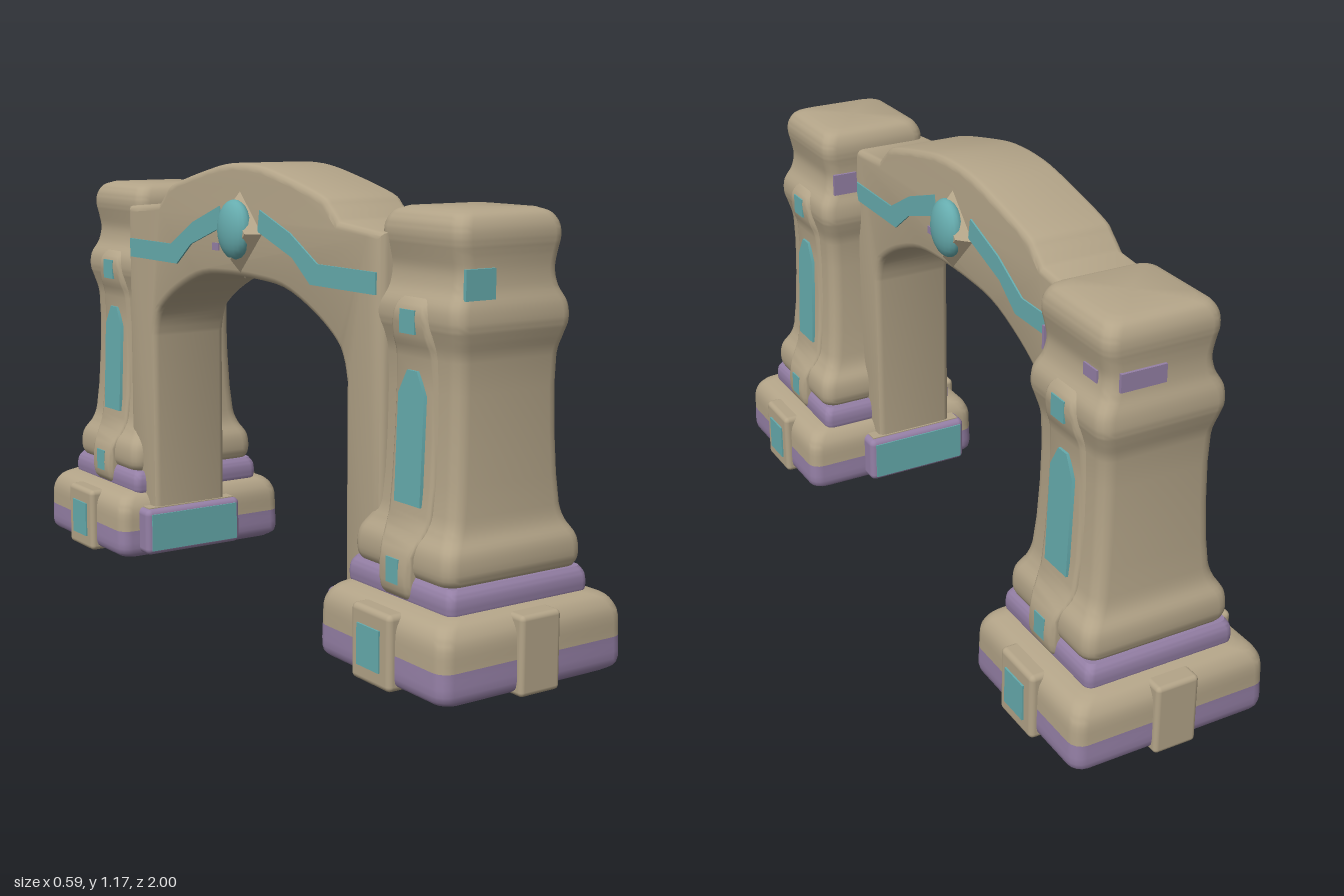
import * as THREE from 'three';
import { toCreasedNormals } from 'three/addons/utils/BufferGeometryUtils.js';
import { RoundedBoxGeometry } from 'three/addons/geometries/RoundedBoxGeometry.js';

const mat = (name, color) => Object.assign(new THREE.MeshStandardMaterial({ color }), { name });

// Stack of rounded rectangles; profile entries are [y, half width x, half depth z]
function loft(profile, radius, steps = 4) {
  const curve = new THREE.CatmullRomCurve3(profile.map((p) => new THREE.Vector3(p[1], p[0], p[2])), false, 'centripetal');
  const levels = (profile.length - 1) * steps;
  const pos = [], index = [], arc = 4, n = 4 * (arc + 1);
  for (let j = 0; j <= levels; j++) {
    const p = curve.getPoint(j / levels);
    for (let q = 0; q < 4; q++) {
      const sx = q === 0 || q === 3 ? 1 : -1, sz = q < 2 ? 1 : -1;
      for (let k = 0; k <= arc; k++) {
        const a = (q + k / arc) * Math.PI / 2;
        pos.push(sx * (p.x - radius) + Math.cos(a) * radius, p.y, sz * (p.z - radius) + Math.sin(a) * radius);
      }
    }
  }
  const bottom = pos.length / 3, top = bottom + 1;
  pos.push(0, profile[0][0], 0, 0, profile[profile.length - 1][0], 0);
  for (let i = 0; i < n; i++) {
    const i2 = (i + 1) % n;
    for (let j = 0; j < levels; j++) {
      const a = j * n + i, b = j * n + i2;
      index.push(a, a + n, b + n, a, b + n, b);
    }
    index.push(bottom, i, i2, top, levels * n + i2, levels * n + i);
  }
  const g = new THREE.BufferGeometry();
  g.setAttribute('position', new THREE.Float32BufferAttribute(pos, 3));
  g.setIndex(index);
  return toCreasedNormals(g, 0.8);
}

// Outline given as [z, y], with its thickness along x, centred on x = 0
function plate(points, depth, bevel = 0) {
  const shape = new THREE.Shape(points.map((p) => new THREE.Vector2(p[0], p[1])));
  const g = new THREE.ExtrudeGeometry(shape, {
    depth: depth - 2 * bevel, bevelEnabled: bevel > 0, bevelSize: bevel,
    bevelThickness: bevel, bevelOffset: -bevel, bevelSegments: 3,
  });
  g.translate(0, 0, bevel - depth / 2);
  g.rotateY(-Math.PI / 2);
  return toCreasedNormals(g, 0.7);
}

export function createModel() {
  const stone = mat('sandstone', 0xb3a488);
  const purple = mat('purple', 0x9580a6);
  const cyan = mat('turquoise', 0x66acae);
  const model = new THREE.Group();
  model.name = 'archway';

  const add = (parent, name, geo, material, x = 0, y = 0, z = 0) => {
    const m = new THREE.Mesh(geo, material);
    m.name = name;
    m.position.set(x, y, z);
    parent.add(m);
    return m;
  };
  const box = (w, h, d, r = 0.015) => new RoundedBoxGeometry(w, h, d, 3, r);
  const thin = (w, h, d) => new THREE.BoxGeometry(w, h, d);

  const archX = -0.057, archWidth = 0.234;

  // Shared pillar geometry
  const baseLower = loft([[0.006, 0.25, 0.222], [0.022, 0.27, 0.24], [0.088, 0.272, 0.242]], 0.035);
  const baseUpper = loft([[0.088, 0.272, 0.242], [0.15, 0.268, 0.238], [0.18, 0.25, 0.222], [0.195, 0.215, 0.2]], 0.035);
  const step = loft([[0.18, 0.2, 0.192], [0.2, 0.207, 0.198], [0.235, 0.205, 0.196], [0.252, 0.195, 0.186]], 0.02);
  const shaft = loft([
    [0.245, 0.19, 0.172], [0.268, 0.202, 0.183], [0.32, 0.2, 0.181], [0.36, 0.178, 0.163], [0.4, 0.165, 0.156],
    [0.75, 0.153, 0.148], [0.8, 0.164, 0.159], [0.83, 0.172, 0.165], [0.87, 0.17, 0.162], [0.91, 0.15, 0.151],
    [0.95, 0.143, 0.147], [0.99, 0.15, 0.148], [1.02, 0.156, 0.151], [1.05, 0.154, 0.148],
    [1.075, 0.14, 0.135], [1.087, 0.115, 0.11]], 0.035);
  const pilaster = loft([
    [0.19, 0.2, 0.05], [0.215, 0.218, 0.055], [0.3, 0.216, 0.06], [0.35, 0.19, 0.075], [0.39, 0.176, 0.08],
    [0.75, 0.163, 0.075], [0.8, 0.178, 0.07], [0.86, 0.182, 0.06], [0.9, 0.15, 0.05]], 0.015);
  const niche = plate([[-0.048, -0.155], [0.048, -0.155], [0.048, 0.1], [0.018, 0.155], [-0.018, 0.155], [-0.048, 0.1]], 0.009);

  for (const s of [1, -1]) {
    const pillar = new THREE.Group();
    pillar.name = s > 0 ? 'frontPillar' : 'backPillar';
    pillar.position.z = s * 0.73;
    model.add(pillar);

    add(pillar, 'baseLower', baseLower, purple, 0, 0, s * 0.013);
    add(pillar, 'baseUpper', baseUpper, stone, 0, 0, s * 0.013);
    add(pillar, 'baseStep', step, purple);
    add(pillar, 'shaft', shaft, stone);
    add(pillar, 'sidePilasters', pilaster, stone);
    add(pillar, 'baseEndBlock', box(0.118, 0.19, 0.14, 0.012), stone, 0, 0.095, s * 0.2);

    // Side blocks with inlaid panels
    for (const e of [1, -1]) {
      add(pillar, 'baseSideBlock', box(0.15, 0.182, 0.15, 0.014), stone, e * 0.214, 0.091, s * 0.008);
      add(pillar, 'basePanel', thin(0.009, 0.1, 0.085), cyan, e * 0.289, 0.09, s * 0.006);
      add(pillar, 'lowerInlay', thin(0.009, 0.06, 0.046), cyan, e * 0.217, 0.26, 0);
      add(pillar, 'upperInlay', thin(0.009, 0.055, 0.055), cyan, e * 0.181, 0.833, 0);
      add(pillar, 'nichePanel', niche, cyan, e * 0.17, 0.565, 0).rotation.z = e * 0.036;
    }

    // Block at the foot of the inner jamb
    add(pillar, 'innerBlock', box(0.315, 0.135, 0.12, 0.018), purple, archX, 0.088, -s * 0.218);
    add(pillar, 'innerBlockPanel', thin(0.285, 0.108, 0.009), cyan, archX, 0.088, -s * 0.2765);
    add(pillar, 'innerBlockTop', thin(0.285, 0.008, 0.09), stone, archX, 0.154, -s * 0.216);

    // Painted patches around the neck
    add(pillar, 'innerNeckPatch', thin(0.07, 0.06, 0.009), purple, 0.1, 0.935, -s * 0.15);
    if (s > 0) add(pillar, 'outerNeckPatch', thin(0.085, 0.07, 0.009), cyan, -0.1, 0.925, 0.152);
    else {
      add(pillar, 'outerNeckPatch', thin(0.12, 0.045, 0.009), purple, 0.06, 0.945, -0.15);
      add(pillar, 'sideNeckPatch', thin(0.009, 0.03, 0.055), purple, 0.144, 0.945, -0.072);
    }
  }

  // Arch and inner jambs in one outline
  const spline = (pts, count) => new THREE.SplineCurve(pts.map((p) => new THREE.Vector2(p[0], p[1])))
    .getPoints(count).map((v) => [v.x, v.y]);
  const upper = [[0.44, 1.04], [0.4, 1.075], [0.36, 1.1], [0.2, 1.14], [0.07, 1.163]];
  const lower = [[0.474, 0.66], [0.46, 0.71], [0.43, 0.75], [0.34, 0.805], [0.21, 0.855], [0.08, 0.868]];
  const mirror = (pts) => [...pts, ...pts.map((p) => [-p[0], p[1]]).reverse()];
  const outline = [
    [0.62, 0.1], [0.62, 1.025], [0.56, 1.03], ...spline(mirror(upper), 36), [-0.56, 1.03], [-0.62, 1.025],
    [-0.62, 0.1], [-0.474, 0.1], ...spline(mirror(lower), 40).reverse(), [0.474, 0.1],
  ];
  add(model, 'arch', plate(outline, archWidth, 0.018), stone, archX);

  // Inlaid bands, keystone collar and gem on both faces of the arch
  const gemGeo = new THREE.SphereGeometry(1, 20, 14).scale(0.036, 0.078, 0.066);
  const collarGeo = toCreasedNormals(new THREE.CylinderGeometry(0.07, 0.122, 0.045, 4).rotateZ(-Math.PI / 2), 0.4);
  for (const e of [1, -1]) {
    const face = archX + e * archWidth / 2;
    for (const s of [1, -1]) {
      const band = [[0.6, 0.88], [0.33, 0.88], [0.25, 0.94], [0.09, 0.995], [0.1, 1.05], [0.24, 1.0], [0.36, 0.933], [0.6, 0.933]];
      add(model, 'archBand', plate(band.map((p) => [s * p[0], p[1]]), 0.009), cyan, face);
    }
    const collar = add(model, 'keystoneCollar', collarGeo, stone, face + e * 0.008, 0.988, 0);
    if (e < 0) collar.rotation.y = Math.PI;
    add(model, 'keystoneGem', gemGeo, cyan, face + e * 0.017, 0.995, 0);
    add(model, 'archSpot', thin(0.009, 0.02, 0.03), purple, face, 0.942, e * 0.12);
  }
  return model;
}
